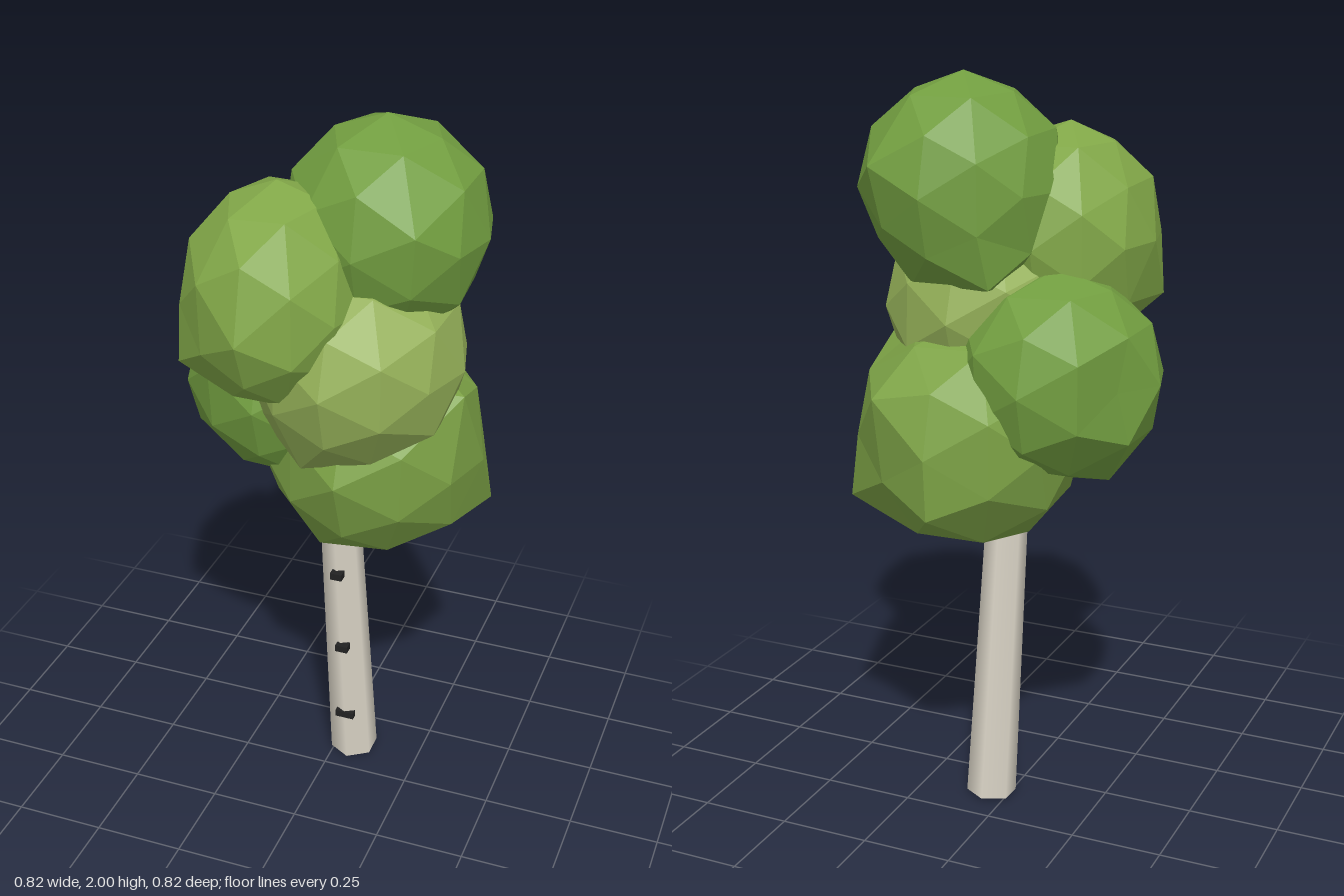
import * as THREE from 'three';

const material = (color, flat = false) => new THREE.MeshStandardMaterial({ color, flatShading: flat });

// Repeatable wobble in -1..1 from a vertex direction
function wobble(v, seed) {
  const key = Math.round(v.x * 50) * 12.99 + Math.round(v.y * 50) * 78.23 + Math.round(v.z * 50) * 37.72;
  const s = Math.sin(key + seed * 5.17) * 43758.5453;
  return (s - Math.floor(s)) * 2 - 1;
}

// Faceted leaf ball; each pull drags the vertex lying in its direction to that point
function leafBall({ name, center, radius, color, pulls }, seed) {
  const geometry = new THREE.IcosahedronGeometry(1, 1);
  const c = new THREE.Vector3(...center);
  const r = new THREE.Vector3(...radius);
  const targets = pulls.map((p) => new THREE.Vector3(...p).sub(c));
  const pos = geometry.attributes.position;
  const v = new THREE.Vector3();
  for (let i = 0; i < pos.count; i++) {
    v.fromBufferAttribute(pos, i);
    const target = targets.find((t) => t.angleTo(v) < 0.26);
    const onAxis = Math.max(Math.abs(v.x), Math.abs(v.y), Math.abs(v.z)) > 0.99;
    const scale = onAxis ? 1 : 1 + 0.03 * wobble(v, seed);
    if (target) v.copy(target);
    else v.multiply(r).multiplyScalar(scale);
    pos.setXYZ(i, v.x, v.y, v.z);
  }
  geometry.computeVertexNormals();
  const mesh = new THREE.Mesh(geometry, material(color, true));
  mesh.name = name;
  mesh.position.copy(c);
  return mesh;
}

export function createModel() {
  const tree = new THREE.Group();
  tree.name = 'tree';

  // Leaning six-sided trunk
  const base = new THREE.Vector3(0.052, 0.005, -0.115);
  const tip = new THREE.Vector3(0.01, 1.1, -0.055);
  const axis = tip.clone().sub(base);
  const trunk = new THREE.Mesh(new THREE.CylinderGeometry(0.053, 0.069, axis.length(), 6), material(0xdcd6c8));
  trunk.name = 'trunk';
  trunk.position.copy(base).lerp(tip, 0.5);
  trunk.quaternion.setFromUnitVectors(new THREE.Vector3(0, 1, 0), axis.normalize());
  tree.add(trunk);

  // Dark bark marks on the front
  const marks = new THREE.Group();
  marks.name = 'barkMarks';
  for (const [x, y, z, width] of [[0.047, 0.163, -0.05, 0.055], [0.044, 0.415, -0.027, 0.036], [0.031, 0.667, -0.015, 0.034]]) {
    const mark = new THREE.Mesh(new THREE.BoxGeometry(width, 0.02, 0.028), material(0x222222));
    mark.name = 'barkMark';
    mark.position.set(x, y, z);
    marks.add(mark);
  }
  tree.add(marks);

  // Crown of five overlapping leaf balls
  const balls = [
    {
      name: 'lowerLeaves', center: [0.1, 1.065, -0.11], radius: [0.31, 0.315, 0.3], color: 0x7da346,
      pulls: [[0.405, 0.88, -0.235], [0.38, 1.3, 0], [0.26, 1.2, -0.375], [0.1, 0.9, -0.4], [0.1, 1.08, 0.21]],
    },
    {
      name: 'backLeaves', center: [-0.135, 1.24, -0.09], radius: [0.28, 0.28, 0.27], color: 0x729e40,
      pulls: [[-0.28, 0.97, -0.09], [-0.34, 1.24, -0.2]],
    },
    {
      name: 'middleLeaves', center: [0.1, 1.385, 0.025], radius: [0.285, 0.28, 0.295], color: 0x94b058,
      pulls: [[0, 1.11, 0.18], [-0.14, 1.22, 0.12]],
    },
    {
      name: 'frontLeaves', center: [-0.08, 1.565, 0.12], radius: [0.24, 0.3, 0.27], color: 0x82a848,
      pulls: [[-0.08, 1.54, 0.405], [-0.3, 1.4, 0.25]],
    },
    {
      name: 'topLeaves', center: [0.14, 1.71, -0.065], radius: [0.27, 0.29, 0.268], color: 0x729e40,
      pulls: [[0.29, 1.78, -0.31], [0.29, 1.78, 0.17], [-0.01, 1.48, -0.25]],
    },
  ];
  const crown = new THREE.Group();
  crown.name = 'crown';
  balls.forEach((ball, i) => crown.add(leafBall(ball, i + 1)));
  tree.add(crown);

  return tree;
}
